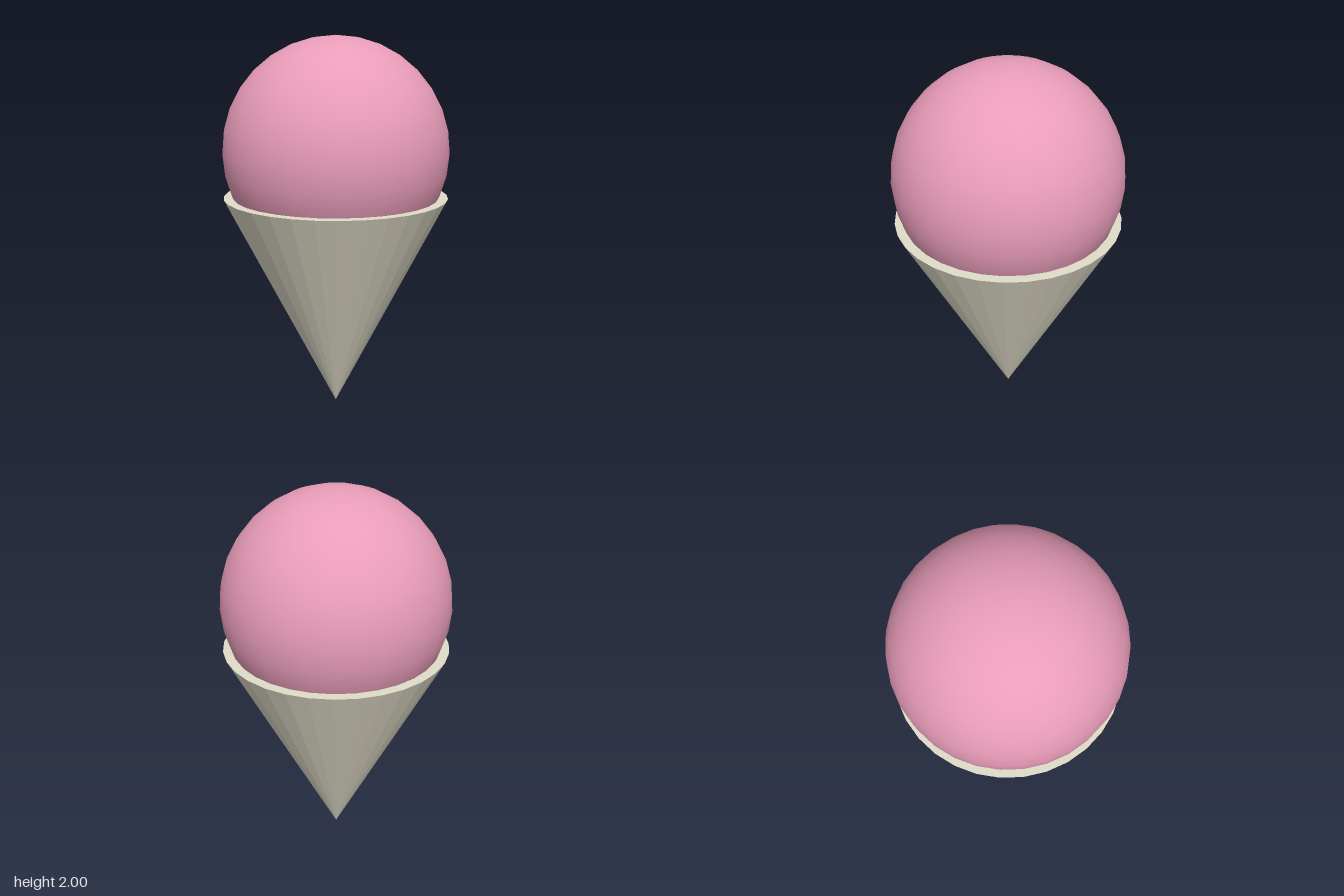
import * as THREE from 'three';

const RADIUS = 0.588;
const CONE_HEIGHT = 1.176;

export function createModel() {
  const model = new THREE.Group();
  model.name = 'iceCream';

  // Faceted cone standing on its tip, closed by a flat top
  const cone = new THREE.Mesh(
    new THREE.ConeGeometry(RADIUS, CONE_HEIGHT, 32).rotateX(Math.PI),
    new THREE.MeshStandardMaterial({ color: 0xe0dcc8, flatShading: true })
  );
  cone.name = 'cone';
  cone.position.y = CONE_HEIGHT / 2;

  // Smooth scoop sunk into the cone's top
  const scoop = new THREE.Mesh(
    new THREE.SphereGeometry(RADIUS, 32, 16),
    new THREE.MeshStandardMaterial({ color: 0xe89cb8 })
  );
  scoop.name = 'scoop';
  scoop.position.y = 2 - RADIUS;

  model.add(cone, scoop);
  return model;
}
